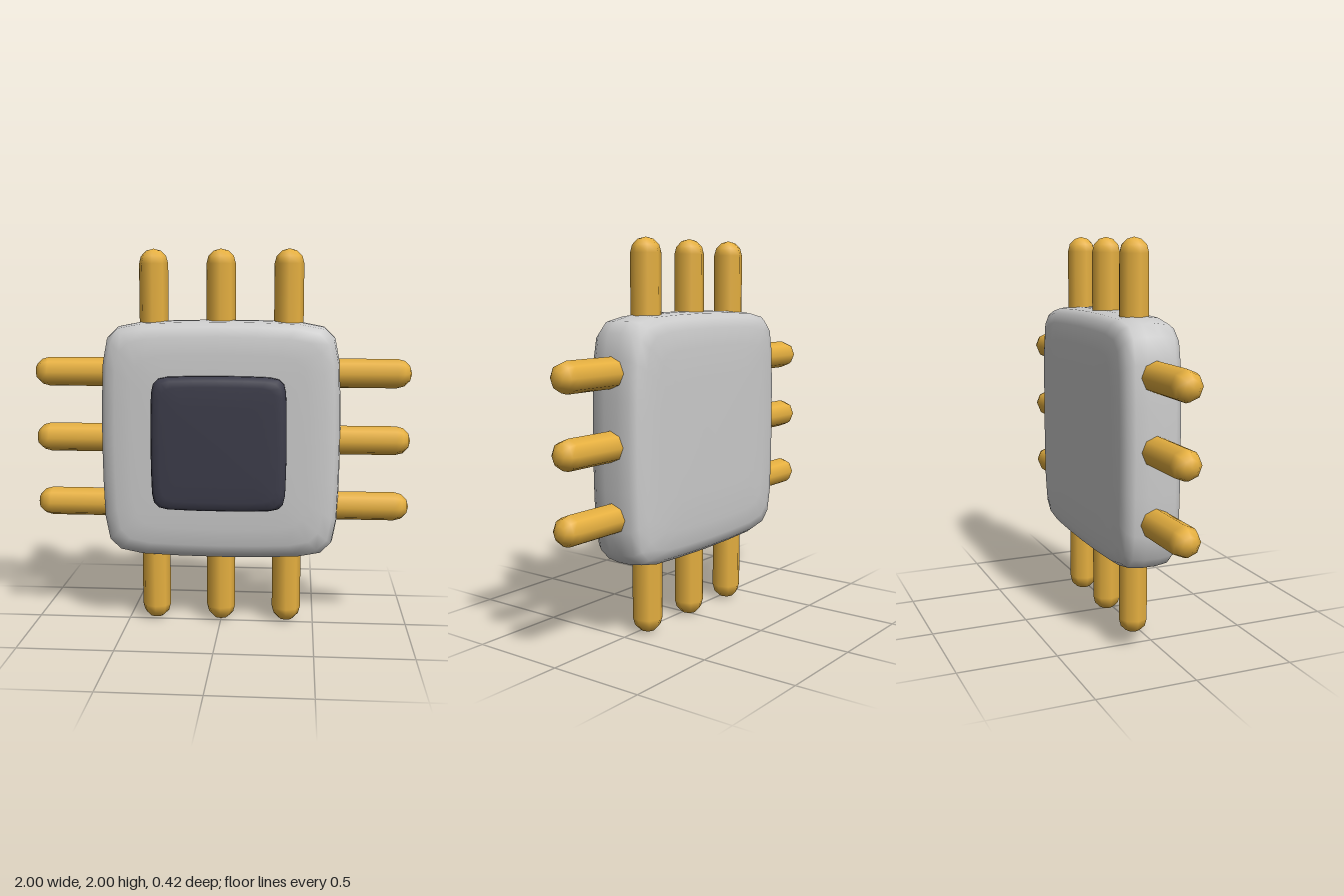
import * as THREE from 'three';

const CENTER_Y = 1.0, BODY_Z = -0.036;

// Softly bulging square slab: one rounded-square loop scaled along z.
// quarter: [x, y] points from the +x side to just before the +y side (unit half-width)
// profile: [half-width, z] from back to front
function pillow(quarter, profile) {
  const loop = [];
  for (let k = 0; k < 4; k++) {
    const c = Math.round(Math.cos(k * Math.PI / 2)), s = Math.round(Math.sin(k * Math.PI / 2));
    for (const [x, y] of quarter) loop.push([c * x - s * y, s * x + c * y]);
  }
  const n = loop.length, pos = [], idx = [];
  for (const [h, z] of profile) for (const [x, y] of loop) pos.push(x * h, y * h, z);
  for (let i = 0; i < profile.length - 1; i++) {
    for (let j = 0; j < n; j++) {
      const a = i * n + j, b = i * n + (j + 1) % n;
      idx.push(a, b, b + n, a, b + n, a + n);
    }
  }
  const geo = new THREE.BufferGeometry();
  geo.setAttribute('position', new THREE.Float32BufferAttribute(pos, 3));
  geo.setIndex(idx);
  geo.computeVertexNormals();
  return geo;
}

export function createModel() {
  const model = new THREE.Group();
  model.name = 'processorChip';
  const grey = new THREE.MeshStandardMaterial({ color: 0xcccccc });
  const dark = new THREE.MeshStandardMaterial({ color: 0x3c3c4a });
  const gold = new THREE.MeshStandardMaterial({ color: 0xe6b040 });

  const add = (name, geo, mat, x, y, z) => {
    const mesh = new THREE.Mesh(geo, mat);
    mesh.name = name;
    mesh.position.set(x, y, z);
    model.add(mesh);
    return mesh;
  };

  // Body, symmetrical front to back
  const side = [[0, 0.172], [0.3, 0.171], [0.46, 0.168], [0.55, 0.158], [0.6, 0.14], [0.624, 0.105], [0.632, 0.04]];
  const bodyProfile = [
    ...side.map(([h, z]) => [h, -z]),
    ...side.slice().reverse(),
  ];
  const bodyCorner = [[1, 0], [0.995, 0.35], [0.983, 0.66], [0.945, 0.855], [0.855, 0.945], [0.66, 0.983], [0.35, 0.995]];
  add('body', pillow(bodyCorner, bodyProfile), grey, 0, CENTER_Y, BODY_Z);

  // Raised core plate on the front
  const coreCorner = [[1, 0], [0.997, 0.4], [0.985, 0.75], [0.955, 0.885], [0.885, 0.955], [0.75, 0.985], [0.4, 0.997]];
  const coreProfile = [[0, 0.06], [0.34, 0.06], [0.352, 0.1], [0.352, 0.165], [0.346, 0.185],
    [0.332, 0.198], [0.3, 0.204], [0.2, 0.206], [0, 0.207]];
  add('core', pillow(coreCorner, coreProfile), dark, 0, CENTER_Y, 0);

  // Three round-ended pins on each of the four edges
  const r = 0.077, inner = 0.46;
  const pinGeo = new THREE.CapsuleGeometry(r, 1 - inner - 2 * r, 3, 8);
  ['top', 'left', 'bottom', 'right'].forEach((edge, k) => {
    const angle = -k * Math.PI / 2;
    for (let i = -1; i <= 1; i++) {
      const p = new THREE.Vector3(i * 0.355, (1 + inner) / 2, 0)
        .applyAxisAngle(new THREE.Vector3(0, 0, 1), angle);
      const pin = add(`${edge}Pin${i + 2}`, pinGeo, gold, p.x, CENTER_Y + p.y, BODY_Z);
      pin.rotation.z = angle;
    }
  });
  return model;
}
